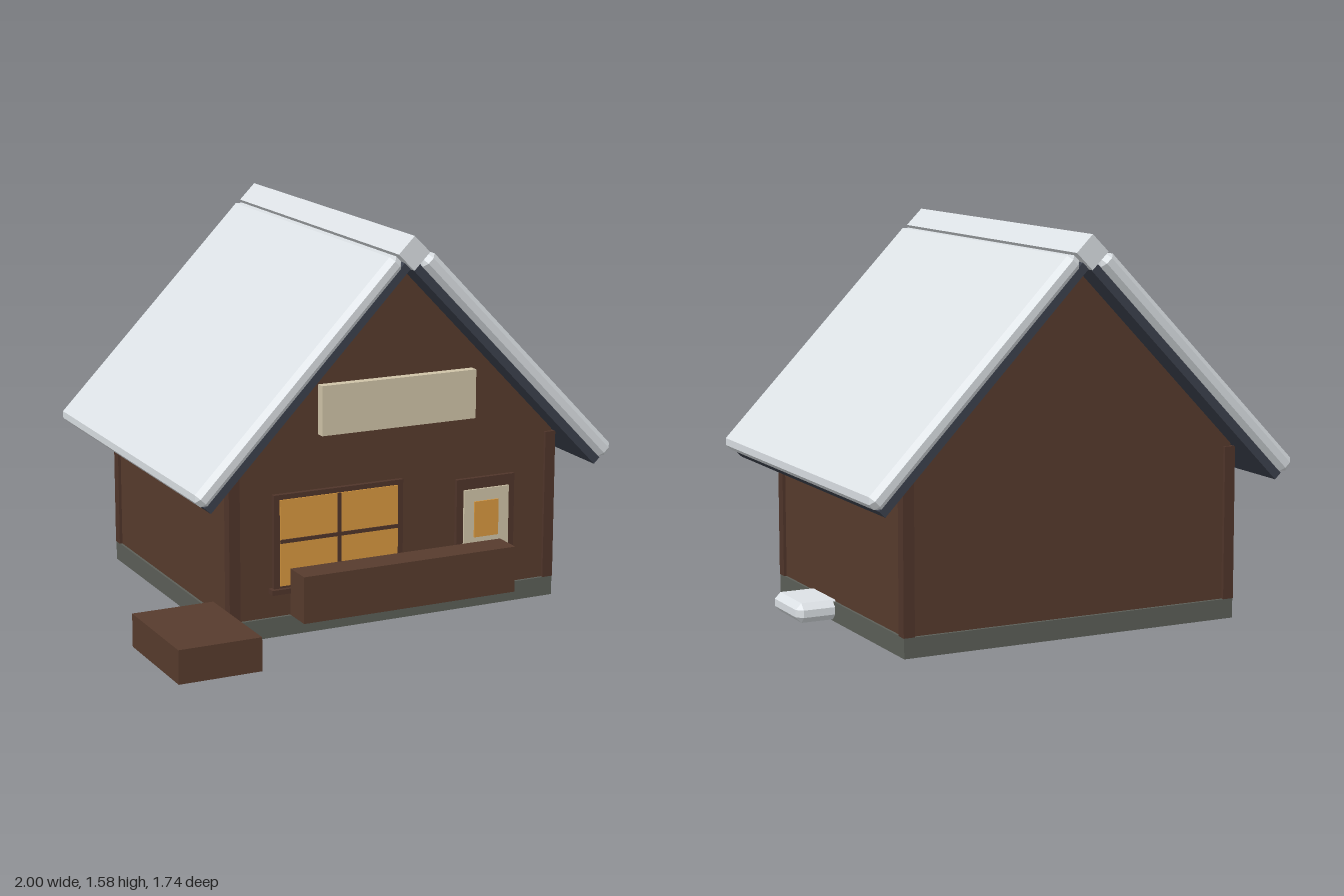
import * as THREE from 'three';
import { ConvexGeometry } from 'three/addons/geometries/ConvexGeometry.js';

const mat = (name, color) => {
  const m = new THREE.MeshStandardMaterial({ color });
  m.name = name;
  return m;
};

// Box given by its minimum and maximum corners
function box(parent, name, material, [x0, y0, z0], [x1, y1, z1]) {
  const mesh = new THREE.Mesh(new THREE.BoxGeometry(x1 - x0, y1 - y0, z1 - z0), material);
  mesh.position.set((x0 + x1) / 2, (y0 + y1) / 2, (z0 + z1) / 2);
  mesh.name = name;
  parent.add(mesh);
  return mesh;
}

// Box with every edge cut at 45 degrees by c
function chamferBox(parent, name, material, min, max, c) {
  const h = min.map((v, i) => (max[i] - v) / 2);
  const points = [];
  for (const sx of [-1, 1]) for (const sy of [-1, 1]) for (const sz of [-1, 1]) {
    for (let full = 0; full < 3; full++) {
      const [x, y, z] = h.map((v, i) => (i === full ? v : v - c));
      points.push(new THREE.Vector3(sx * x, sy * y, sz * z));
    }
  }
  const mesh = new THREE.Mesh(new ConvexGeometry(points), material);
  mesh.position.set(...min.map((v, i) => (v + max[i]) / 2));
  mesh.name = name;
  parent.add(mesh);
  return mesh;
}

export function createModel() {
  const wood = mat('brown wood', 0x573b2d);
  const trim = mat('dark wood trim', 0x50352a);
  const stone = mat('grey stone', 0x5c5f58);
  const snow = mat('snow', 0xdde2e6);
  const slate = mat('dark roof boards', 0x3c414d);
  const cream = mat('cream paint', 0xd0c4a8);
  const amber = mat('lit amber glass', 0xd8983f);

  const model = new THREE.Group();
  model.name = 'snowyCabin';
  const cx = 0.09, cz = -0.11, apex = 1.45;
  const slope = THREE.MathUtils.degToRad(46);

  // Foundation and gabled walls
  box(model, 'foundation', stone, [-0.635, 0, -0.73], [0.815, 0.08, 0.51]);
  const w = 0.715, eave = apex - w * Math.tan(slope);
  const gable = new THREE.Shape([
    new THREE.Vector2(-w, 0.08), new THREE.Vector2(w, 0.08), new THREE.Vector2(w, eave),
    new THREE.Vector2(0, apex), new THREE.Vector2(-w, eave),
  ]);
  const walls = new THREE.Mesh(
    new THREE.ExtrudeGeometry(gable, { depth: 1.215, bevelEnabled: false }), wood);
  walls.position.set(cx, 0, -0.717);
  walls.name = 'walls';
  model.add(walls);

  // Corner posts
  for (const sx of [-1, 1]) for (const sz of [-1, 1]) {
    const x = cx + sx * 0.704, z = cz + sz * 0.598;
    box(model, 'cornerPost', trim, [x - 0.023, 0.08, z - 0.023], [x + 0.023, 0.7, z + 0.023]);
  }

  // Roof halves: boards with a snow slab on top, turned around for the other side
  for (const turn of [0, Math.PI]) {
    const side = new THREE.Group();
    side.name = 'roofSide';
    side.position.set(cx, apex, cz);
    side.rotation.y = turn;
    const pitch = new THREE.Group();
    pitch.name = 'roofSlope';
    pitch.rotation.z = -slope;
    box(pitch, 'roofBoards', slate, [0, 0, -0.73], [1.22, 0.036, 0.73]);
    chamferBox(pitch, 'roofSnow', snow, [0.01, 0.035, -0.755], [1.228, 0.106, 0.755], 0.021);
    side.add(pitch);
    model.add(side);
  }

  // Ridge snow, a square bar standing on its edge
  const ridge = box(model, 'ridgeSnow', snow, [cx - 0.048, 1.464, -0.865], [cx + 0.048, 1.56, 0.645]);
  ridge.rotation.z = Math.PI / 4;

  // Sign board
  box(model, 'signBoard', cream, [-0.25, 0.8, 0.49], [0.43, 1.0, 0.535]);

  // Window
  const win = new THREE.Group();
  win.name = 'window';
  box(win, 'windowFrame', trim, [-0.45, 0.2, 0.49], [0.115, 0.58, 0.518]);
  box(win, 'windowGlass', amber, [-0.425, 0.21, 0.515], [0.09, 0.56, 0.523]);
  box(win, 'windowMullion', trim, [-0.178, 0.21, 0.52], [-0.162, 0.56, 0.528]);
  box(win, 'windowCrossbar', trim, [-0.425, 0.385, 0.52], [0.09, 0.4, 0.528]);
  box(win, 'windowSill', trim, [-0.465, 0.18, 0.49], [0.13, 0.2, 0.535]);
  model.add(win);

  // Door
  const door = new THREE.Group();
  door.name = 'door';
  box(door, 'doorFrame', trim, [0.36, 0.08, 0.49], [0.625, 0.545, 0.516]);
  box(door, 'doorPanel', cream, [0.39, 0.08, 0.5], [0.595, 0.5, 0.525]);
  box(door, 'doorGlass', amber, [0.435, 0.3, 0.523], [0.545, 0.45, 0.531]);
  model.add(door);

  // Things outside
  box(model, 'frontBench', wood, [-0.385, 0.09, 0.53], [0.555, 0.28, 0.655]);
  box(model, 'woodPile', wood, [-1, 0.01, 0.4], [-0.66, 0.145, 0.87]);
  chamferBox(model, 'snowHeap', snow, [0.7, 0.006, -0.072], [0.974, 0.086, 0.2], 0.025);

  return model;
}
